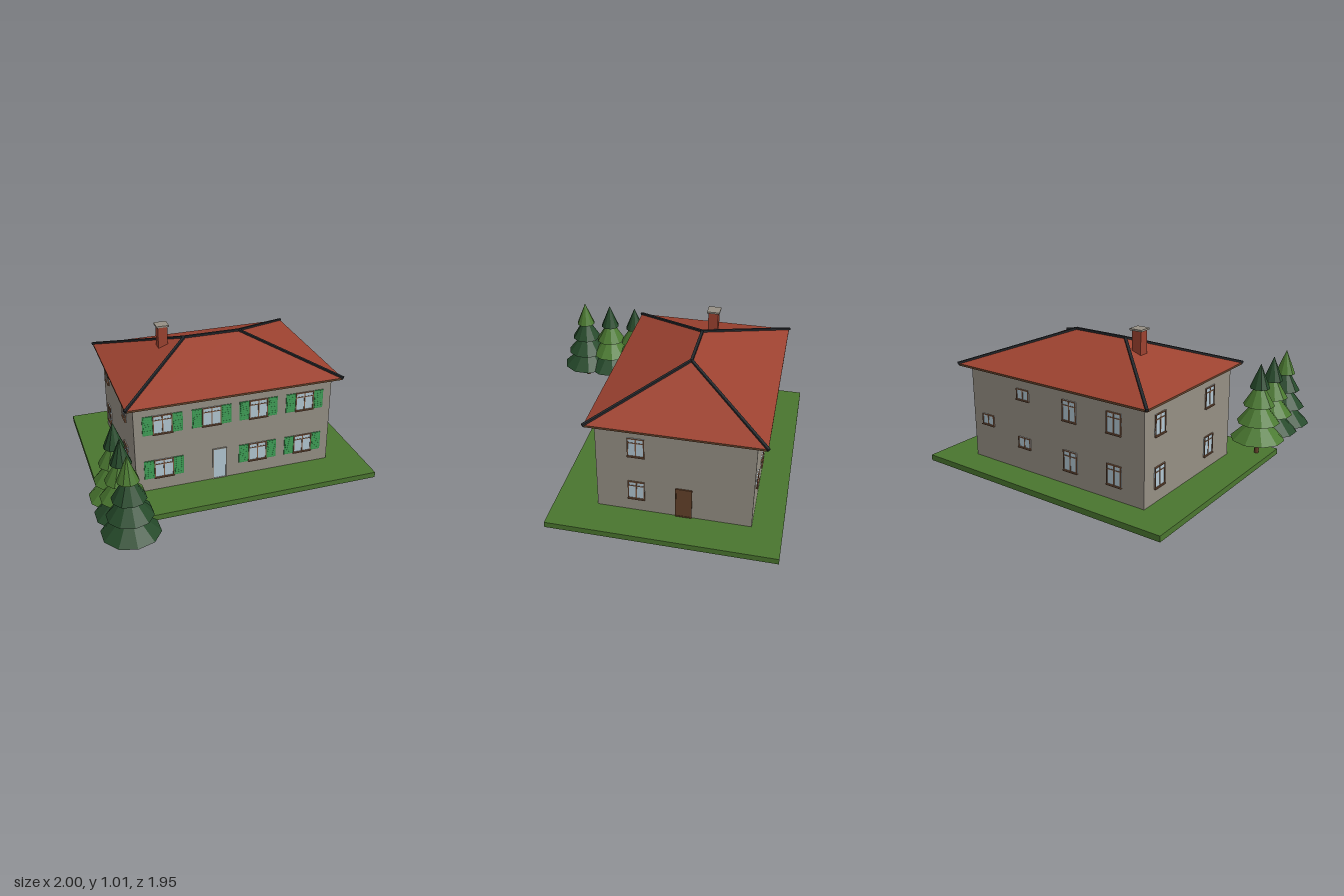
import * as THREE from 'three';

const mat = (name, color) => {
  const m = new THREE.MeshStandardMaterial({ color });
  m.name = name;
  return m;
};

export function createModel() {
  const M = {
    grass: mat('grass', 0x4a752f),
    wall: mat('plaster', 0x958f84),
    roof: mat('roofTile', 0x9c4230),
    ridge: mat('ridgeCap', 0x25282c),
    wood: mat('darkWood', 0x64422a),
    frame: mat('frameWood', 0x7c5840),
    glass: mat('glass', 0xb2c6d2),
    shutter: mat('shutterGreen', 0x37924e),
    dark: mat('darkPine', 0x25492a),
    light: mat('lightPine', 0x4b7a31),
  };
  M.dark.flatShading = M.light.flatShading = true;

  const model = new THREE.Group();
  model.name = 'houseWithGarden';

  const add = (parent, name, geo, material, x = 0, y = 0, z = 0) => {
    const mesh = new THREE.Mesh(geo, material);
    mesh.name = name;
    mesh.position.set(x, y, z);
    parent.add(mesh);
    return mesh;
  };
  const box = (parent, name, material, w, h, d, x, y, z) =>
    add(parent, name, new THREE.BoxGeometry(w, h, d), material, x, y, z);
  // box given by its limits
  const block = (name, material, x0, x1, y0, y1, z0, z1) =>
    box(model, name, material, x1 - x0, y1 - y0, z1 - z0, (x0 + x1) / 2, (y0 + y1) / 2, (z0 + z1) / 2);

  // Lawn and walls
  const X0 = -0.663, X1 = 0.75, Z0 = -0.776, Z1 = 0.24;
  block('lawn', M.grass, -0.91, 1, 0, 0.04, -0.975, 0.53);
  block('walls', M.wall, X0, X1, 0.04, 0.695, Z0, Z1);

  // Hipped roof over a thin eaves board
  const E = { x0: -0.72, x1: 0.808, z0: -0.838, z1: 0.292, y: 0.706 };
  block('eaves', M.wood, E.x0, E.x1, 0.692, E.y, E.z0, E.z1);
  const v = (x, y, z) => new THREE.Vector3(x, y, z);
  const a = v(E.x0, E.y, E.z1), b = v(E.x1, E.y, E.z1), c = v(E.x1, E.y, E.z0), d = v(E.x0, E.y, E.z0);
  const r0 = v(-0.16, 0.912, -0.273), r1 = v(0.245, 0.912, -0.273);
  const roofGeo = new THREE.BufferGeometry().setFromPoints(
    [a, b, r1, a, r1, r0, b, c, r1, c, d, r0, c, r0, r1, d, a, r0]);
  roofGeo.computeVertexNormals();
  add(model, 'roof', roofGeo, M.roof);

  // Ridge and hip caps
  [[a, r0], [d, r0], [b, r1], [c, r1], [r0, r1]].forEach(([p, q]) => {
    const geo = new THREE.BoxGeometry(0.018, 0.016, p.distanceTo(q) + 0.012);
    const cap = add(model, 'ridgeCap', geo, M.ridge);
    cap.position.copy(p).add(q).multiplyScalar(0.5);
    cap.lookAt(q);
    cap.position.y += 0.003;
  });

  // Chimney
  block('chimney', M.roof, -0.344, -0.276, 0.75, 1.0, -0.361, -0.292);
  block('chimneyCap', M.wall, -0.355, -0.265, 1.0, 1.012, -0.371, -0.283);

  // Each wall is a group whose local +z points outwards
  const facade = (name, x, z, turn) => {
    const g = new THREE.Group();
    g.name = name;
    g.position.set(x, 0, z);
    g.rotation.y = turn;
    model.add(g);
    return g;
  };
  const front = facade('frontFacade', 0, Z1, 0);
  const back = facade('backFacade', 0, Z0, Math.PI);
  const left = facade('leftFacade', X1, 0, Math.PI / 2);
  const right = facade('rightFacade', X0, 0, -Math.PI / 2);

  const border = (g, material, w, h, t) => {
    for (const s of [-1, 1]) {
      box(g, 'frameSide', material, t, h, 0.009, s * (w - t) / 2, 0, 0.0045);
      box(g, 'frameRail', material, w - 2 * t, t, 0.009, 0, s * (h - t) / 2, 0.0045);
    }
  };

  const opening = (wall, name, x, y) => {
    const g = new THREE.Group();
    g.name = name;
    g.position.set(x, y, 0);
    wall.add(g);
    return g;
  };

  const addWindow = (wall, x, y, w, h, shutters = false) => {
    const g = opening(wall, 'window', x, y);
    box(g, 'pane', M.glass, w, h, 0.004, 0, 0, 0.002);
    border(g, M.frame, w, h, 0.007);
    box(g, 'mullion', M.frame, 0.008, h, 0.007, 0, 0, 0.0035);
    if (h > 0.1) box(g, 'transom', M.frame, w, 0.006, 0.007, 0, h * 0.25, 0.0035);
    box(g, 'sill', M.frame, w + 0.004, 0.006, 0.014, 0, -h / 2, 0.007);
    if (!shutters) return;
    for (const s of [-1, 1]) {
      const sx = s * (w / 2 + 0.036);
      box(g, 'shutter', M.shutter, 0.07, h, 0.005, sx, 0, 0.0025);
      for (let i = 0; i < 8; i++) {
        const slat = box(g, 'shutterSlat', M.shutter, 0.056, 0.012, 0.003, sx, (i - 3.5) * 0.016, 0.006);
        slat.rotation.x = -0.25;
      }
    }
  };

  const HI = 0.545, LO = 0.206;
  // Front: shuttered windows and a glazed door
  [-0.467, -0.126, 0.21, 0.552].forEach((x, i) => {
    addWindow(front, x, HI, 0.135, 0.14, true);
    if (i !== 1) addWindow(front, x, LO, 0.135, 0.14, true);
  });
  const glassDoor = opening(front, 'frontDoor', -0.07, 0.163);
  box(glassDoor, 'doorGlass', M.glass, 0.1, 0.24, 0.005, 0, 0, 0.0025);
  border(glassDoor, M.wall, 0.1, 0.24, 0.006);

  // Sides: tall windows, and a wooden door on one side
  for (const y of [HI, LO]) {
    addWindow(left, 0.023, y, 0.11, 0.14);
    addWindow(right, -0.616, y, 0.11, 0.14);
    addWindow(right, -0.035, y, 0.11, 0.14);
    addWindow(back, 0.098, y, 0.11, 0.14);
    addWindow(back, 0.442, y, 0.11, 0.14);
  }
  const sideDoor = opening(left, 'sideDoor', 0.333, 0.153);
  box(sideDoor, 'doorLeaf', M.wood, 0.108, 0.226, 0.006, 0, 0, 0.003);
  border(sideDoor, M.wood, 0.108, 0.226, 0.007);

  // Back: small windows
  [[-0.29, 0.572], [-0.29, 0.238], [-0.617, 0.328]].forEach(([x, y]) => addWindow(back, x, y, 0.105, 0.075));

  // Fir trees: four stacked ten-sided cones on a trunk
  const tiers = [[0.188, 0.155, 0.18], [0.148, 0.277, 0.18], [0.11, 0.4, 0.18], [0.07, 0.522, 0.172]];
  const { dark: D, light: L } = M;
  [[0.38, [L, L, L, D]], [0.583, [D, L, L, D]], [0.787, [D, D, D, L]]].forEach(([z, colours]) => {
    const tree = new THREE.Group();
    tree.name = 'firTree';
    tree.position.set(-0.821, 0, z);
    model.add(tree);
    add(tree, 'trunk', new THREE.CylinderGeometry(0.016, 0.016, 0.13, 10), M.wood, 0, 0.108, 0);
    tiers.forEach(([r, y, h], i) =>
      add(tree, 'branches', new THREE.ConeGeometry(r, h, 10), colours[i], 0, y + h / 2, 0));
  });

  return model;
}
